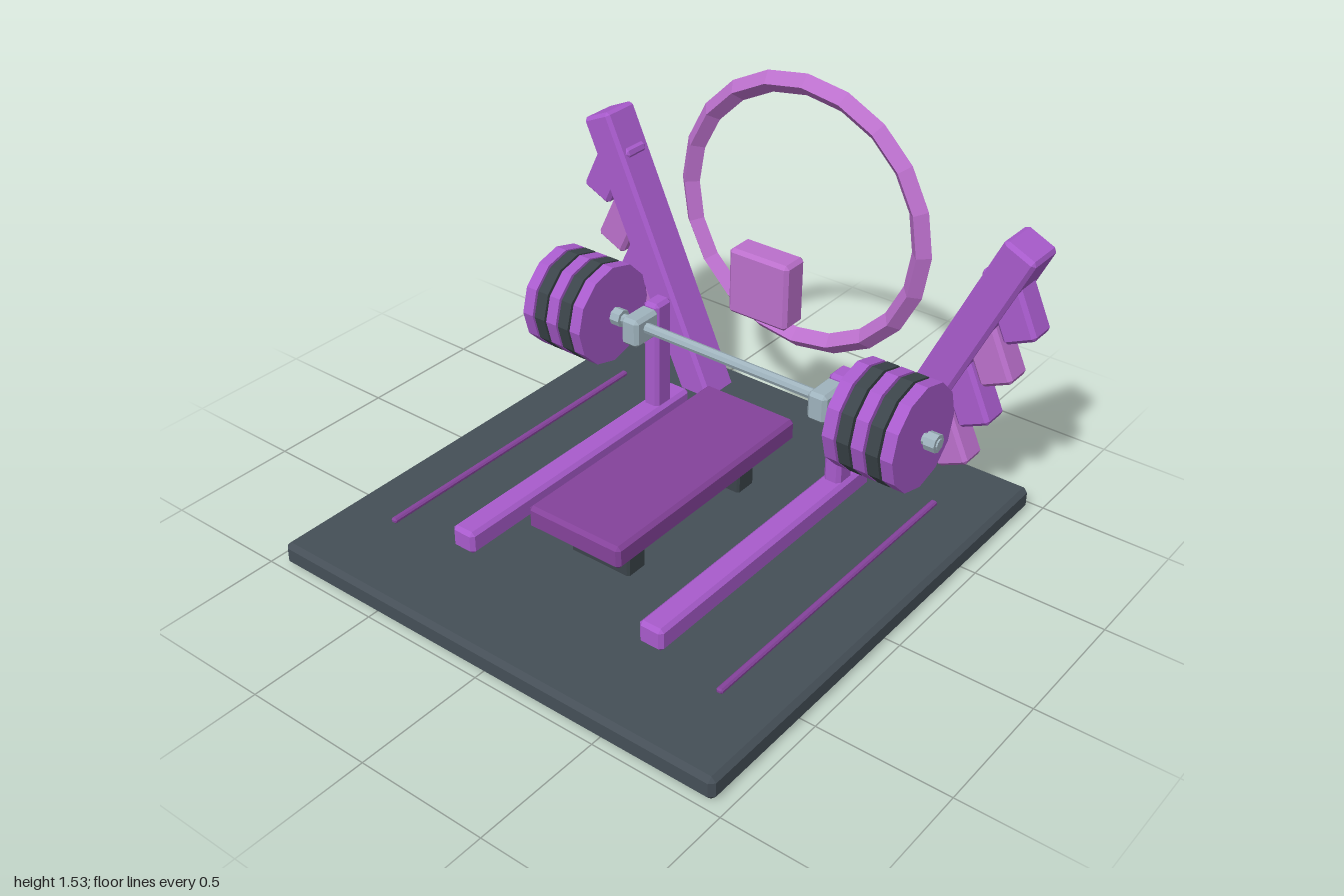
import * as THREE from 'three';
import { ConvexGeometry } from 'three/addons/geometries/ConvexGeometry.js';

const mat = (name, color) => {
  const m = new THREE.MeshStandardMaterial({ color, flatShading: true });
  m.name = name;
  return m;
};

// Box with flat chamfered edges, centred on the origin
function chamferBox(w, h, d, c = 0.014) {
  const pts = [];
  for (const x of [-1, 1]) for (const y of [-1, 1]) for (const z of [-1, 1]) {
    const [a, b, e] = [w / 2, h / 2, d / 2];
    pts.push(
      new THREE.Vector3(x * a, y * (b - c), z * (e - c)),
      new THREE.Vector3(x * (a - c), y * b, z * (e - c)),
      new THREE.Vector3(x * (a - c), y * (b - c), z * e));
  }
  return new ConvexGeometry(pts);
}

export function createModel() {
  const floorGrey = mat('floor grey', 0x454f57);
  const darkGrey = mat('dark grey', 0x3b444a);
  const purple = mat('purple', 0xa85bcc);
  const deepPurple = mat('deep purple', 0x84429a);
  const pink = mat('pink purple', 0xbb70cc);
  const steel = mat('steel', 0x9fb3bd);

  const model = new THREE.Group();
  model.name = 'benchPressStation';

  const add = (name, geometry, material, x, y, z, rz = 0) => {
    const mesh = new THREE.Mesh(geometry, material);
    mesh.name = name;
    mesh.position.set(x, y, z);
    mesh.rotation.z = rz;
    model.add(mesh);
    return mesh;
  };
  const box = (name, material, w, h, d, x, y, z, rz = 0, c = 0.014) =>
    add(name, chamferBox(w, h, d, c), material, x, y, z, rz);
  // Cylinder lying along x
  const rod = (name, material, r, length, sides, x, y, z) =>
    add(name, new THREE.CylinderGeometry(r, r, length, sides), material, x, y, z, Math.PI / 2);

  // Floor platform
  box('platform', floorGrey, 1.9, 0.09, 1.945, 0, 0.045, 0, 0, 0.018);

  // Bench
  box('benchPad', deepPurple, 0.405, 0.09, 1.02, 0, 0.275, -0.005);
  for (const z of [0.32, -0.315]) box('benchLeg', darkGrey, 0.26, 0.16, 0.095, 0, 0.16, z, 0, 0.008);

  // Floating block and ring behind the bench
  box('backBlock', pink, 0.26, 0.265, 0.115, 0, 0.783, -0.588);
  add('ring', new THREE.TorusGeometry(0.512, 0.041, 4, 20), pink, 0, 0.98, -0.805);

  // Barbell shaft
  const barY = 0.565, barZ = -0.368;
  rod('bar', steel, 0.021, 1.77, 8, 0, barY, barZ);

  const tilt = THREE.MathUtils.degToRad(25);
  for (const [side, s] of [['right', -1], ['left', 1]]) {
    // Rack: floor rail, upright and bar hook
    box(side + 'Rail', purple, 0.1, 0.09, 1.235, s * 0.42, 0.134, -0.004);
    box(side + 'Upright', purple, 0.072, 0.46, 0.092, s * 0.42, 0.395, -0.48);
    box(side + 'Hook', steel, 0.08, 0.115, 0.135, s * 0.42, 0.553, -0.375);

    // Weight plates in alternating colours, with a collar at each end
    for (let i = 0; i < 5; i++) {
      rod(side + 'Plate', i % 2 ? darkGrey : purple, 0.2, 0.048, 12, s * (0.565 + i * 0.058), barY, barZ);
    }
    for (const x of [0.513, 0.858]) rod(side + 'Collar', steel, 0.035, 0.042, 8, s * x, barY, barZ);

    // Leaning pillar
    const length = 1.22;
    box(side + 'Pillar', purple, 0.137, length, 0.167,
      s * (0.925 - Math.sin(tilt) * length / 2), 1.155 - Math.cos(tilt) * length / 2, -0.807, -s * tilt);

    // Stepped blocks down the outside of the pillar
    for (let i = 0; i < 4; i++) {
      box(side + 'Step', i % 2 ? pink : purple, 0.135, 0.28, 0.12,
        s * (0.89 - i * 0.07), 0.93 - i * 0.197, -0.805, s * tilt);
    }

    // Thin floor strip
    box(side + 'FloorStrip', deepPurple, 0.026, 0.02, 1.31, s * 0.73, 0.099, -0.004, 0, 0.006);
  }
  return model;
}
